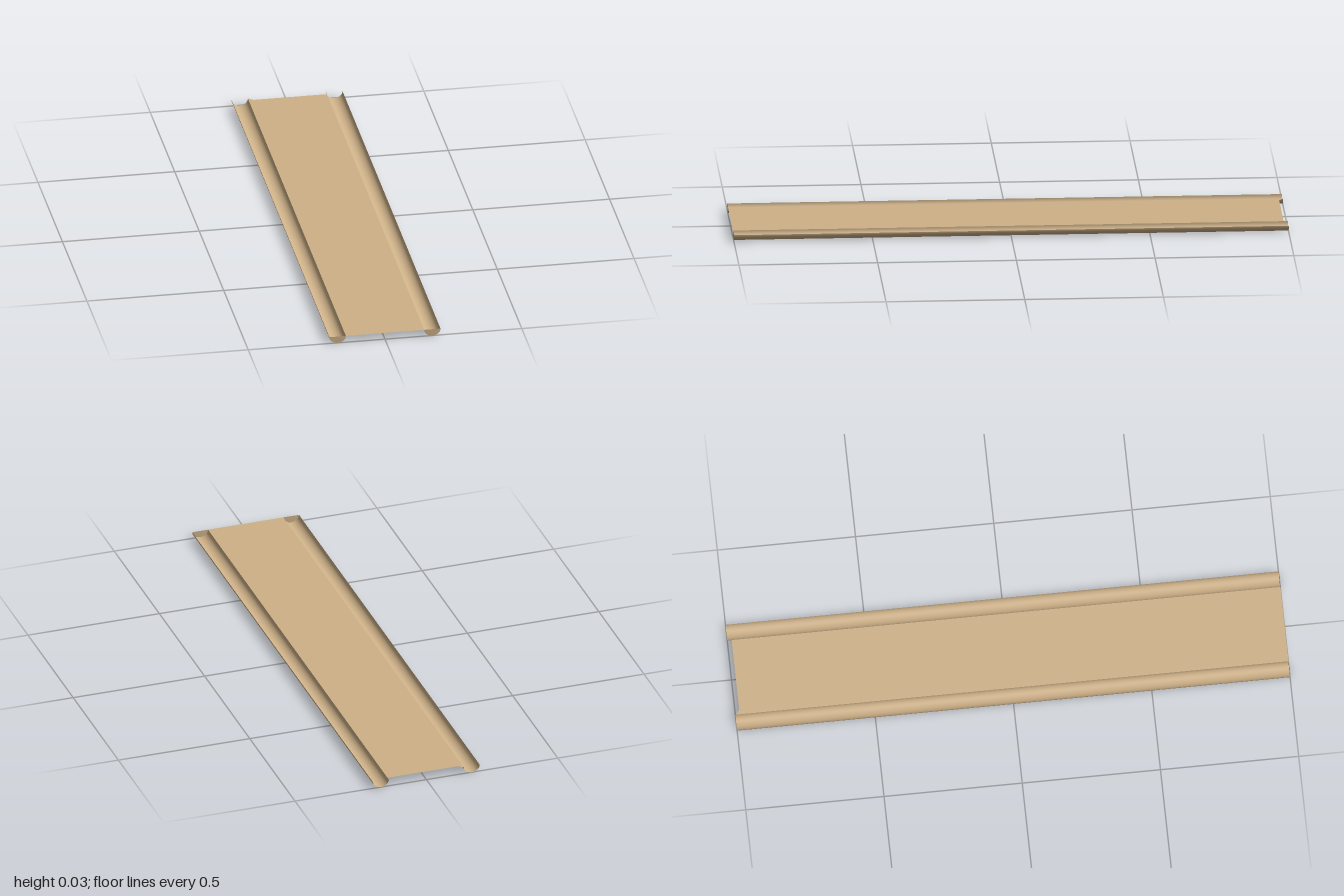
import * as THREE from 'three';

export function createModel() {
  const model = new THREE.Group();
  const tan = new THREE.MeshStandardMaterial({ color: 0xceb188, side: THREE.DoubleSide });
  tan.name = 'tan';

  const top = 0.025, rx = 0.03, railX = 0.173, steps = 20;
  const add = (name, geometry, parent) => {
    const mesh = new THREE.Mesh(geometry, tan);
    mesh.name = name;
    parent.add(mesh);
    return mesh;
  };

  // Open half-round channel running the full length
  const channel = new THREE.PlaneGeometry(1, 2, steps, 1);
  const pos = channel.attributes.position;
  for (let i = 0; i < pos.count; i++) {
    const a = Math.PI * (pos.getX(i) + 0.5);
    pos.setXYZ(i, -rx * Math.cos(a), top - top * Math.sin(a), -pos.getY(i));
  }
  channel.computeVertexNormals();

  // Half-round plate closing the front end of a channel
  const cap = new THREE.CircleGeometry(1, steps, Math.PI, Math.PI);
  cap.scale(rx, top, 1);

  for (const [side, name] of [[1, 'left'], [-1, 'right']]) {
    const rail = new THREE.Group();
    rail.name = name + 'Rail';
    rail.position.x = side * railX;
    add(name + 'Channel', channel, rail);
    add(name + 'EndCap', cap, rail).position.set(0, top, 1);
    model.add(rail);
  }

  // Flat sheet between the rails, its back edge cut slightly short
  const inner = railX - rx;
  const outline = new THREE.Shape([
    [-inner, -1], [inner, -1], [inner, 0.985], [-0.125, 0.985], [-inner, 1],
  ].map(([x, y]) => new THREE.Vector2(x, y)));
  const sheet = new THREE.ShapeGeometry(outline);
  sheet.rotateX(-Math.PI / 2);
  add('sheet', sheet, model).position.y = top;

  return model;
}
